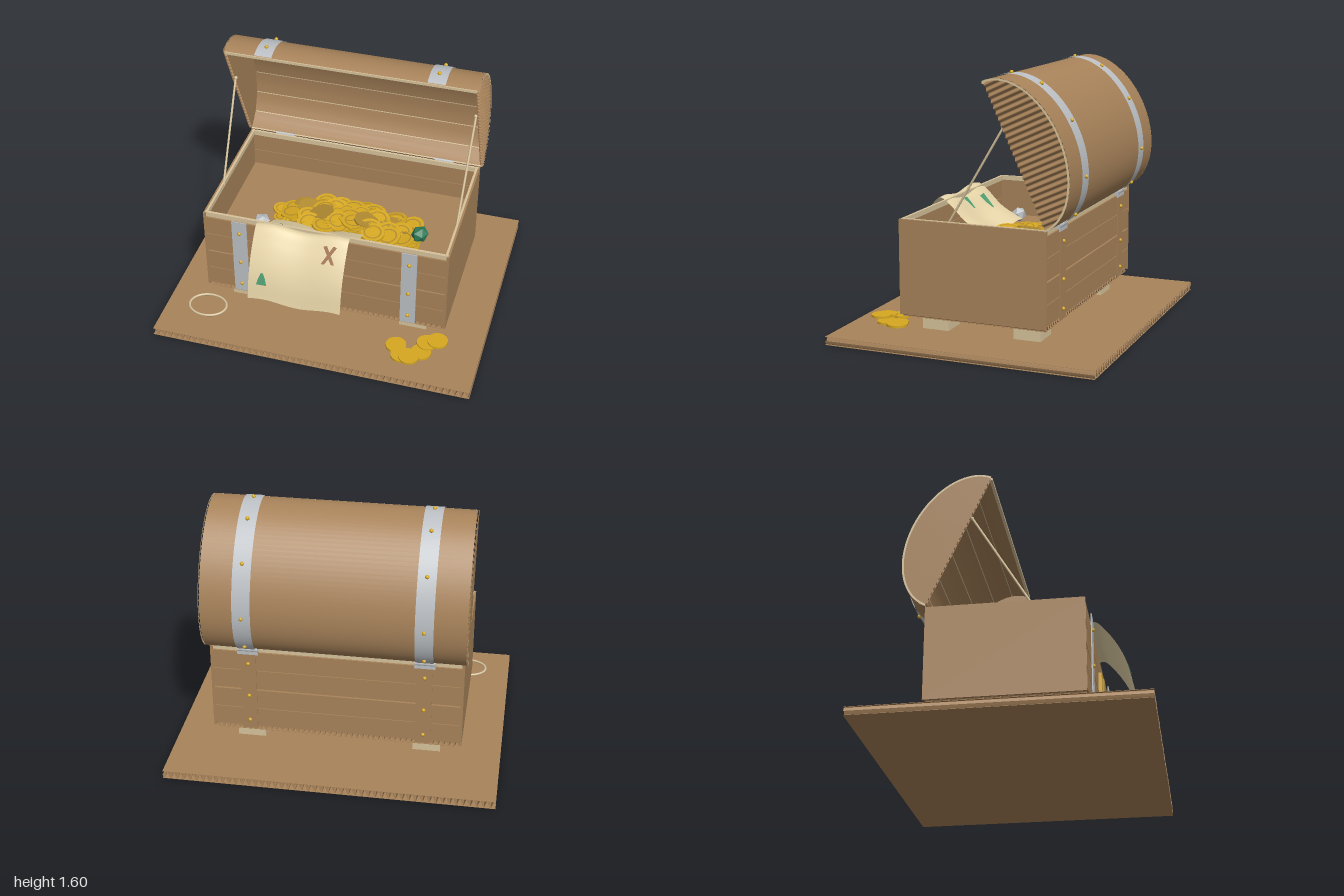
import * as THREE from 'three';

const flat = (name, color) => {
  const m = new THREE.MeshStandardMaterial({ color, side: THREE.DoubleSide });
  m.name = name;
  return m;
};

export function createModel() {
  const root = new THREE.Group();
  root.name = 'treasureChest';
  const card = flat('cardboard', 0xa8835a), tan = flat('paleCard', 0xd8c49c), paper = flat('parchment', 0xe6d4a8);
  const silver = flat('silver', 0xbcc0c4), gold = flat('gold', 0xd6a820), oldGold = flat('oldGold', 0xb08a30);
  const green = flat('green', 0x4f9d70), emerald = flat('emerald', 0x2f7a58), ink = flat('brownInk', 0x9c6f48);

  const add = (name, geo, mat, x = 0, y = 0, z = 0, parent = root) => {
    const m = new THREE.Mesh(geo, mat);
    m.name = name;
    m.position.set(x, y, z);
    parent.add(m);
    return m;
  };
  const box = (name, mat, w, h, d, x, y, z) => add(name, new THREE.BoxGeometry(w, h, d), mat, x, y, z);
  // surface from a rule (u, v) -> [x, y, z]
  const surface = (name, mat, nu, nv, rule) => {
    const g = new THREE.PlaneGeometry(1, 1, nu, nv), p = g.attributes.position;
    for (let i = 0; i < p.count; i++) p.setXYZ(i, ...rule(p.getX(i) + 0.5, p.getY(i) + 0.5));
    g.computeVertexNormals();
    return add(name, g, mat);
  };
  // corrugated board: two sheets with a wavy core
  const board = (name, hw, hd, y0, y1, waves) => {
    for (const y of [y0 + 0.001, y1 - 0.001]) box(name + 'Sheet', card, hw * 2, 0.002, hd * 2, 0, y, 0);
    surface(name + 'Core', card, waves * 8, 1, (u, v) => [
      (2 * u - 1) * hw, (y0 + y1) / 2 + Math.sin(u * waves * Math.PI * 2) * ((y1 - y0) / 2 - 0.003), (1 - 2 * v) * hd]);
  };
  const stud = (x, y, z) => add('stud', new THREE.SphereGeometry(0.012, 12, 8), gold, x, y, z);

  // base, feet and chest floor
  board('base', 1, 0.83, 0, 0.05, 50);
  board('chestFloor', 0.745, 0.45, 0.15, 0.182, 45);
  for (const x of [-0.545, 0.545]) for (const z of [-0.29, 0.293]) box('foot', tan, 0.17, 0.1, 0.168, x, 0.1, z);

  // plank walls, side panels, rim and inner tray
  const planks = [[0.185, 0.308], [0.312, 0.439], [0.449, 0.578], [0.582, 0.706]];
  for (const s of [-1, 1]) {
    for (const [a, b] of planks) box('plank', card, 1.51, b - a, 0.018, 0, (a + b) / 2, s * 0.45);
    box('sidePanel', card, 0.016, 0.57, 0.915, s * 0.756, 0.45, 0);
    box('rimLong', tan, 1.51, 0.032, 0.016, 0, 0.721, s * 0.44);
    box('rimSide', tan, 0.014, 0.03, 0.88, s * 0.745, 0.723, 0);
  }
  box('tray', card, 1.49, 0.006, 0.88, 0, 0.468, 0);

  // lid frame: half ellipse leaning back on the hinge line
  const A = 0.453, B = 0.3, C = [1.1475, -0.2675], T = [0.91, 0.414], N = [0.414, -0.91];
  const lidAt = (t, n) => [C[0] + T[0] * t + N[0] * n, C[1] + T[1] * t + N[1] * n];
  const arc = (phi, off = 0) => lidAt((A + off) * Math.cos(phi), (B + off) * Math.sin(phi));
  const lidBand = (name, mat, x0, x1, off, p0 = 0, p1 = Math.PI, n = 48) =>
    surface(name, mat, n, 1, (u, v) => [x0 + (x1 - x0) * v, ...arc(p0 + (p1 - p0) * u, off)]);
  lidBand('lidShell', card, -0.775, 0.775, 0);
  lidBand('lidLining', tan, -0.765, 0.765, -0.008);
  // lining slats with narrow gaps
  for (let i = 0; i < 8; i++)
    lidBand('lidSlat', card, -0.762, 0.762, -0.016, (i + 0.02) * Math.PI / 8, (i + 0.98) * Math.PI / 8, 3);
  // lid ends: smooth sheets and fluted cores
  const lidEnd = (name, x, amp) => surface(name, card, amp ? 208 : 64, 1, (u, v) => {
    const k = -Math.cos(u * Math.PI), t = amp ? (2 * u - 1) : k;
    return [x + amp * Math.sin(u * 52 * Math.PI), ...lidAt(t * A, B * Math.sqrt(Math.max(0, 1 - t * t)) * v)];
  });
  lidEnd('lidEndInner', 0.762, 0);
  lidEnd('lidEndFlutes', 0.772, 0.009);
  lidEnd('lidEndInner', -0.762, 0);
  lidEnd('lidEndFlutes', -0.772, 0.009);
  lidEnd('lidEndOuter', -0.782, 0);
  // pale edging round the lid
  for (const s of [-1, 1])
    surface('lidEdge', tan, 48, 1, (u, v) => [s * 0.783, ...arc(u * Math.PI, -0.012 * v)]);
  const lip = arc(0, -0.004);
  box('lidLip', tan, 1.54, 0.016, 0.018, 0, lip[0] - 0.006, lip[1] - 0.003);

  for (const s of [-1, 1]) {
    const x = s * 0.53;
    // straps on lid and walls, hinges and studs
    lidBand('lidStrap', silver, x - 0.054, x + 0.054, 0.006);
    for (const deg of [15, 46, 82, 124, 160]) stud(x, ...arc(deg * Math.PI / 180, 0.01));
    box('frontStrap', silver, 0.095, 0.545, 0.006, x, 0.448, 0.471);
    box('backStrap', card, 0.095, 0.53, 0.006, x, 0.44, -0.471);
    for (const y of [0.235, 0.41, 0.635]) for (const z of [0.475, -0.475]) stud(x, y, z);
    box('hingePlate', silver, 0.125, 0.03, 0.008, x, 0.715, -0.472);
    add('hinge', new THREE.CylinderGeometry(0.018, 0.018, 0.125, 16), silver, x, 0.733, -0.462).rotation.z = Math.PI / 2;
    // lid stay
    const stay = new THREE.LineCurve3(new THREE.Vector3(s * 0.742, 0.72, 0.155), new THREE.Vector3(s * 0.755, 1.3, -0.195));
    add('lidStay', new THREE.TubeGeometry(stay, 1, 0.007, 8), tan);
    add('stayPin', new THREE.SphereGeometry(0.011, 10, 8), tan, s * 0.753, 1.3, -0.195);
  }

  // latch
  box('latchPlate', gold, 0.15, 0.15, 0.02, 0, 0.495, 0.47);
  box('latchCover', oldGold, 0.09, 0.08, 0.012, 0, 0.5, 0.486);

  // parchment map draped over the front rim
  const drape = new THREE.CatmullRomCurve3([[0.155, 0.52], [0.3, 0.6], [0.42, 0.712], [0.475, 0.742], [0.55, 0.67],
    [0.62, 0.56], [0.66, 0.46], [0.69, 0.33]].map(([z, y]) => new THREE.Vector3(0, y, z)));
  const length = drape.getLength();
  const mapAt = (x, s, off = 0) => {
    const p = drape.getPointAt(s / length), t = drape.getTangentAt(s / length);
    const w = 0.011 * Math.sin((x + 0.42) * 15);
    return [x, p.y + w + t.z * off, p.z - t.y * off];
  };
  surface('treasureMap', paper, 32, 48, (u, v) => mapAt(-0.415 + 0.58 * u, Math.min(1, Math.max(0, 1 - v)) * length));
  const decal = (name, mat, points, x, s) => {
    const g = new THREE.ShapeGeometry(new THREE.Shape(points.map(([a, b]) => new THREE.Vector2(a, b))));
    const p = g.attributes.position;
    for (let i = 0; i < p.count; i++) p.setXYZ(i, ...mapAt(x + p.getX(i), s - p.getY(i), 0.006));
    g.computeVertexNormals();
    add(name, g, mat);
  };
  const tree = [[-0.032, -0.035], [0.032, -0.035], [0.022, 0.005], [0.006, 0.042], [-0.008, 0.042], [-0.022, 0.005]];
  decal('mapTree', green, tree, -0.33, 0.735);
  decal('mapTree', green, tree.map(([a, b]) => [a, b * 1.5]), -0.27, 0.235);
  decal('mapTree', green, tree.map(([a, b]) => [a * 0.85, b * 1.2]), -0.085, 0.29);
  for (const s of [-1, 1])
    decal('mapCross', ink, [[-0.042 * s, -0.055], [-0.02 * s, -0.055], [0.042 * s, 0.05], [0.02 * s, 0.055]], 0.062, 0.51);

  // coin heap
  let seed = 11;
  const rnd = () => (seed = (seed * 16807) % 2147483647) / 2147483647;
  const coin = (x, y, z, r, tilt, mat) => {
    const c = new THREE.Group();
    c.name = 'coin';
    add('coinDisc', new THREE.CylinderGeometry(r, r, 0.014, 24), mat, 0, 0, 0, c);
    add('coinRing', new THREE.RingGeometry(r * 0.62, r * 0.74, 24), oldGold, 0, 0.0085, 0, c).rotation.x = -Math.PI / 2;
    c.position.set(x, y, z);
    c.rotation.set((rnd() - 0.5) * tilt, 0, (rnd() - 0.5) * tilt);
    root.add(c);
  };
  for (let i = 0; i < 64; i++) {
    const a = i * 2.39996, q = Math.sqrt((i + 0.5) / 64);
    const x = 0.03 + 0.47 * q * Math.cos(a), z = 0.05 + 0.2 * q * Math.sin(a);
    coin(x, 0.482 + 0.055 * (1 - q) + 0.015 * rnd(), z, i % 4 === 3 ? 0.055 : 0.076, 0.4, i % 7 === 5 ? oldGold : gold);
  }

  // gems
  const gem = (name, mat, x, z) => {
    const m = add(name, new THREE.IcosahedronGeometry(0.055, 0), mat, x, 0.535, z);
    m.scale.set(1.05, 0.9, 0.95);
    m.rotation.set(0.4, 0.7, 0.2);
  };
  gem('emeraldGem', emerald, 0.5, 0.06);
  gem('silverGem', silver, -0.48, 0.21);

  // spilled coins and bracelet on the base
  [[0.49, 0.58], [0.54, 0.66], [0.59, 0.67], [0.65, 0.6], [0.67, 0.52], [0.73, 0.495]].forEach(([x, z], i) =>
    add('spilledCoin', new THREE.CylinderGeometry(0.063, 0.063, 0.014, 24), gold, x, 0.072 + (i % 3) * 0.008, z));
  const ring = add('bracelet', new THREE.TorusGeometry(0.118, 0.008, 8, 40), tan, -0.73, 0.085, 0.57);
  ring.rotation.x = Math.PI / 2;
  ring.scale.y = 0.8;

  return root;
}
